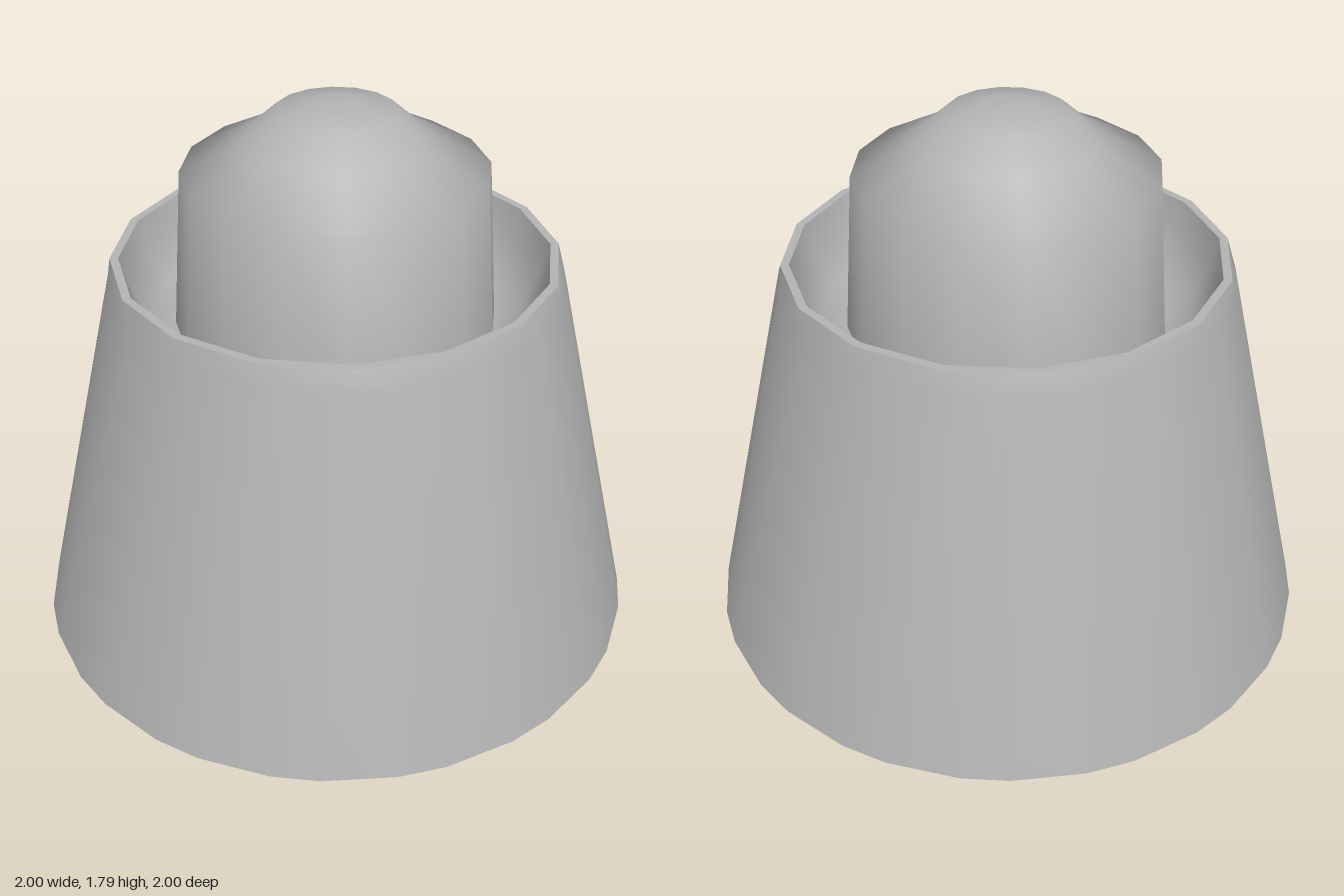
import * as THREE from 'three';
import { toCreasedNormals } from 'three/addons/utils/BufferGeometryUtils.js';

const SIDES = 16;
const grey = new THREE.MeshStandardMaterial({ color: 0xb4b4b4 });
grey.name = 'plain grey';

function part(name, geometry) {
  const mesh = new THREE.Mesh(geometry, grey);
  mesh.name = name;
  return mesh;
}

// Round part with the same sixteen sides as the rim
function lathe(name, profile) {
  const points = profile.map(([r, y]) => new THREE.Vector2(r, y));
  return part(name, new THREE.LatheGeometry(points, SIDES));
}

// Ring of paired corners: wide flats with narrow flats between them
function flutedRing(radius, y, spreadDegrees) {
  const spread = THREE.MathUtils.degToRad(spreadDegrees);
  const ring = [];
  for (let i = 0; i < SIDES; i++) {
    for (const side of [-1, 1]) {
      const a = (i / SIDES) * Math.PI * 2 + side * spread;
      ring.push(new THREE.Vector3(Math.sin(a) * radius, y, Math.cos(a) * radius));
    }
  }
  return ring;
}

// Tapered skirt whose wide flats close to points at the rim
function skirtGeometry(rings) {
  const n = SIDES * 2;
  const index = [];
  for (let r = 0; r < rings.length - 1; r++) {
    for (let i = 0; i < n; i++) {
      const a = r * n + i, b = r * n + (i + 1) % n;
      index.push(a, b, b + n);
      // the last ring has its pairs merged, so skip the empty triangles
      if (r < rings.length - 2 || i % 2 === 1) index.push(a, b + n, a + n);
    }
  }
  const geometry = new THREE.BufferGeometry().setFromPoints(rings.flat());
  geometry.setIndex(index);
  return toCreasedNormals(geometry, 0.6);
}

export function createModel() {
  const model = new THREE.Group();
  model.name = 'knob';

  const base = flutedRing(1.006, 0, 6.8);
  model.add(part('flutedSkirt', skirtGeometry([
    base,
    flutedRing(0.725, 1.23, 6.8),
    flutedRing(0.712, 1.29, 0),
  ])));

  // Flat underside
  const outline = new THREE.Shape(base.map((p) => new THREE.Vector2(p.x, p.z)));
  model.add(part('underside', new THREE.ShapeGeometry(outline).rotateX(Math.PI / 2)));

  // Thin rim and the sloping well inside it
  model.add(lathe('rim', [[0.712, 1.29], [0.685, 1.29]]));
  model.add(lathe('well', [[0.685, 1.29], [0.66, 1.2], [0.6, 1.08], [0.51, 1.05]]));

  // Central cap, slightly tapered with a domed top
  model.add(lathe('centralCap', [
    [0.517, 1.05], [0.48, 1.58], [0.28, 1.685], [0.19, 1.765], [0.08, 1.785], [0, 1.788],
  ]));

  return model;
}
